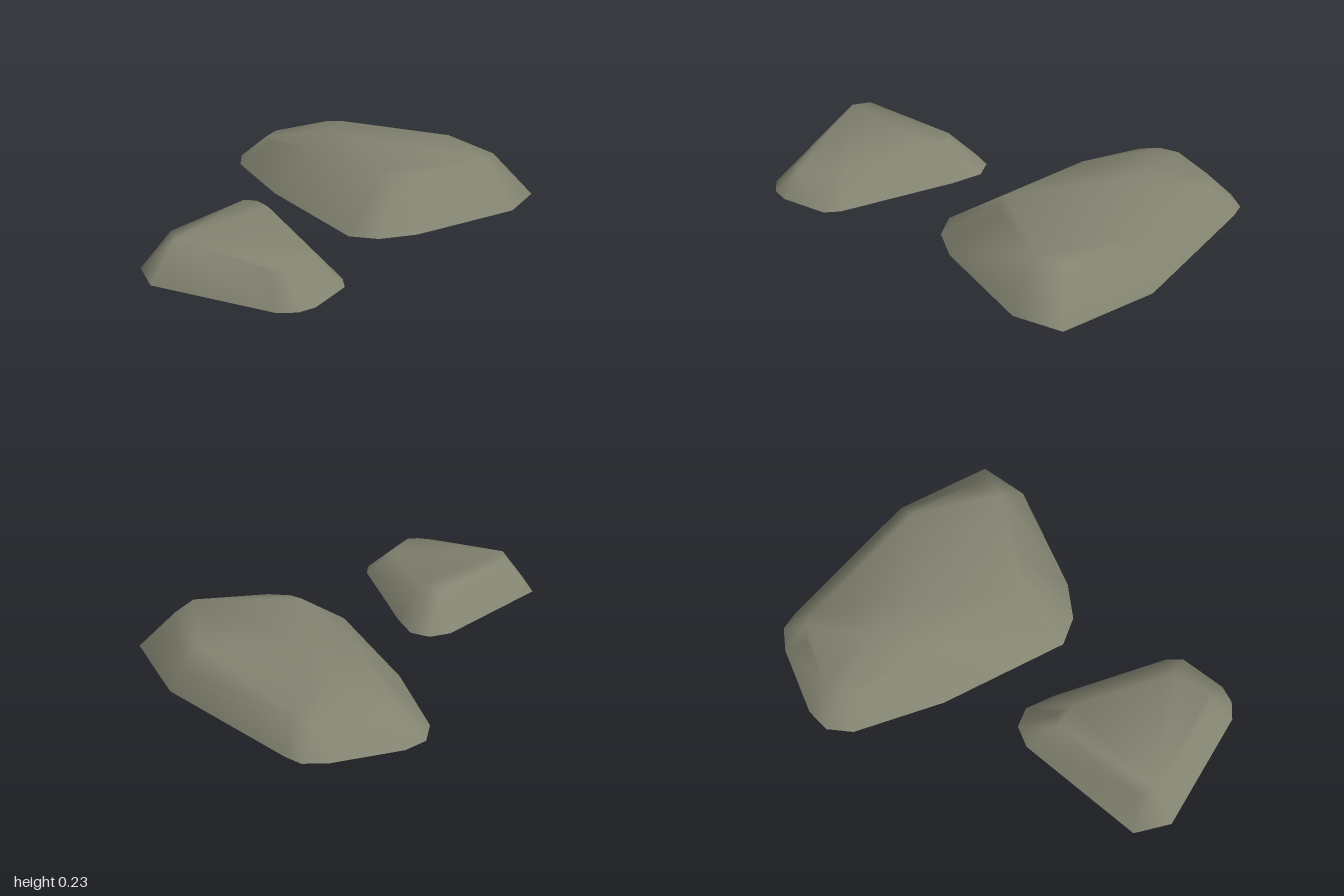
import * as THREE from 'three';
import { ConvexGeometry } from 'three/addons/geometries/ConvexGeometry.js';
import { mergeVertices } from 'three/addons/utils/BufferGeometryUtils.js';

const stone = new THREE.MeshStandardMaterial({ color: 0x828370, side: THREE.DoubleSide });

// Smooth convex shell over a ground outline [x, z] and crown points [x, y, z], open underneath
function makeStone(name, rim, rimHeight, crown) {
  const points = [
    ...rim.map(([x, z]) => new THREE.Vector3(x, rimHeight(x, z), z)),
    ...crown.map((p) => new THREE.Vector3(...p)),
  ];
  const hull = new ConvexGeometry(points);
  const pos = hull.attributes.position;
  const tri = new THREE.Triangle();
  const normal = new THREE.Vector3();
  const kept = [];
  for (let i = 0; i < pos.count; i += 3) {
    tri.setFromAttributeAndIndices(pos, i, i + 1, i + 2);
    tri.getNormal(normal);
    if (normal.y < -0.5) continue; // leave the underside open
    for (const v of [tri.a, tri.b, tri.c]) kept.push(v.x, v.y, v.z);
  }
  const shell = new THREE.BufferGeometry();
  shell.setAttribute('position', new THREE.Float32BufferAttribute(kept, 3));
  const geometry = mergeVertices(shell, 1e-4);
  geometry.computeVertexNormals();
  const mesh = new THREE.Mesh(geometry, stone);
  mesh.name = name;
  return mesh;
}

export function createModel() {
  const group = new THREE.Group();
  group.name = 'flatStones';

  // Large stone, slightly tilted, sloping down towards the back
  group.add(makeStone('largeStone',
    [[-0.03, 0.34], [0.04, 0.46], [0.19, 0.55], [0.69, 0.685], [0.91, 0.625], [1, 0.175], [0.88, -0.55],
      [0.855, -0.63], [0.76, -0.69], [0.45, -0.78], [0.335, -0.77], [0.245, -0.68], [0.095, -0.27]],
    (x, z) => 0.0062 + 0.0195 * x + 0.0128 * z,
    [[0.25, 0.22, 0.27], [0.27, 0.22, 0.33], [0.35, 0.222, 0.4], [0.67, 0.235, 0.53], [0.79, 0.227, 0.48],
      [0.86, 0.215, 0.15], [0.95, 0.12, 0.17], [0.78, 0.15, -0.48], [0.75, 0.14, -0.56], [0.68, 0.13, -0.6],
      [0.47, 0.13, -0.66], [0.38, 0.13, -0.63], [0.33, 0.14, -0.55], [0.28, 0.2, -0.2],
      [0.5, 0.22, -0.14], [0.52, 0.19, -0.37]]));

  // Small stone, narrowing and dropping towards the front
  group.add(makeStone('smallStone',
    [[-1, 0.16], [-0.925, 0], [-0.315, -0.115], [-0.215, -0.085], [-0.17, 0], [-0.205, 0.14],
      [-0.395, 0.66], [-0.445, 0.72], [-0.66, 0.77], [-0.74, 0.755], [-0.805, 0.7]],
    () => 0.03,
    [[-0.87, 0.2, 0.17], [-0.83, 0.198, 0.09], [-0.36, 0.184, 0.02], [-0.32, 0.18, 0.06], [-0.33, 0.18, 0.14],
      [-0.48, 0.16, 0.55], [-0.52, 0.155, 0.6], [-0.66, 0.147, 0.67], [-0.7, 0.15, 0.64], [-0.74, 0.157, 0.57]]));

  return group;
}
